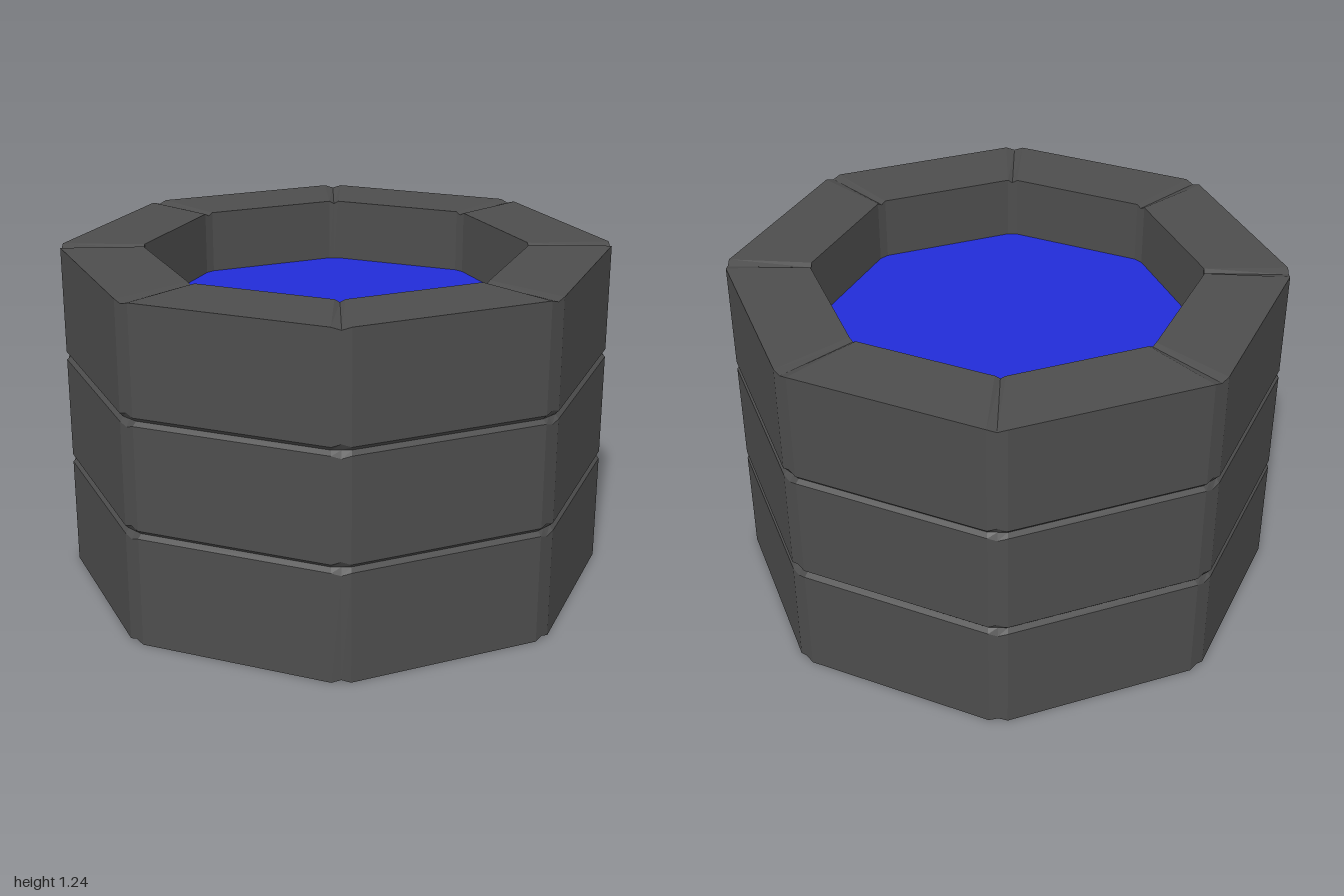
import * as THREE from 'three';

const SIDES = 8;

// Octagonal ring: every corner is cut flat (half width w) and its middle is shifted by dip in y
function ring({ r, y, w = 0.033, dip = 0 }) {
  const points = [];
  for (let i = 0; i < SIDES; i++) {
    const a = (i / SIDES) * Math.PI * 2;
    const out = new THREE.Vector3(Math.sin(a), 0, Math.cos(a));
    const along = new THREE.Vector3(Math.cos(a), 0, -Math.sin(a));
    for (const k of [-1, 0, 1]) {
      const p = out.clone().multiplyScalar(r).addScaledVector(along, k * w);
      p.y = y + (k === 0 ? dip : 0);
      points.push(p);
    }
  }
  return points;
}

// Skin between successive rings with flat facets
function loft(sections) {
  const rings = sections.map(ring);
  const n = SIDES * 3;
  const pos = [];
  const tri = (...ps) => ps.forEach((p) => pos.push(p.x, p.y, p.z));
  for (let j = 0; j < rings.length - 1; j++) {
    for (let i = 0; i < n; i++) {
      const k = (i + 1) % n;
      const [a, b, c, d] = [rings[j][i], rings[j][k], rings[j + 1][k], rings[j + 1][i]];
      tri(a, b, c);
      tri(a, c, d);
    }
  }
  const geometry = new THREE.BufferGeometry();
  geometry.setAttribute('position', new THREE.Float32BufferAttribute(pos, 3));
  geometry.computeVertexNormals();
  return geometry;
}

export function createModel() {
  const stone = new THREE.MeshStandardMaterial({ color: 0x4d4d4d });
  const waterBlue = new THREE.MeshStandardMaterial({ color: 0x222cd8 });
  const group = new THREE.Group();
  const add = (name, sections, material) => {
    const mesh = new THREE.Mesh(loft(sections), material);
    mesh.name = name;
    group.add(mesh);
  };

  const top = 1.237, groove = 0.985, dip = 0.01;

  // Bottom course with its closed underside
  add('bottomCourse', [
    { r: 0, y: 0.003, w: 0 },
    { r: 0.985, y: 0.003 },
    { r: 1, y: 0, dip },
    { r: 1, y: 0.403, dip: -dip },
    { r: groove, y: 0.419 },
  ], stone);

  // Middle course, bevelled into the joints above and below
  add('middleCourse', [
    { r: groove, y: 0.419 },
    { r: 1, y: 0.433, dip },
    { r: 1, y: 0.812, dip: -dip },
    { r: groove, y: 0.827 },
  ], stone);

  // Top course with notched rim and inner wall
  add('topCourse', [
    { r: groove, y: 0.827 },
    { r: 1, y: 0.842, dip },
    { r: 1, y: top, dip: -dip },
    { r: 0.7, y: top, w: 0.018, dip: -dip },
    { r: 0.7, y: 0.98, w: 0.018 },
  ], stone);

  // Water surface
  add('water', [
    { r: 0.7, y: 1.0, w: 0.018 },
    { r: 0, y: 1.0, w: 0 },
  ], waterBlue);

  return group;
}
